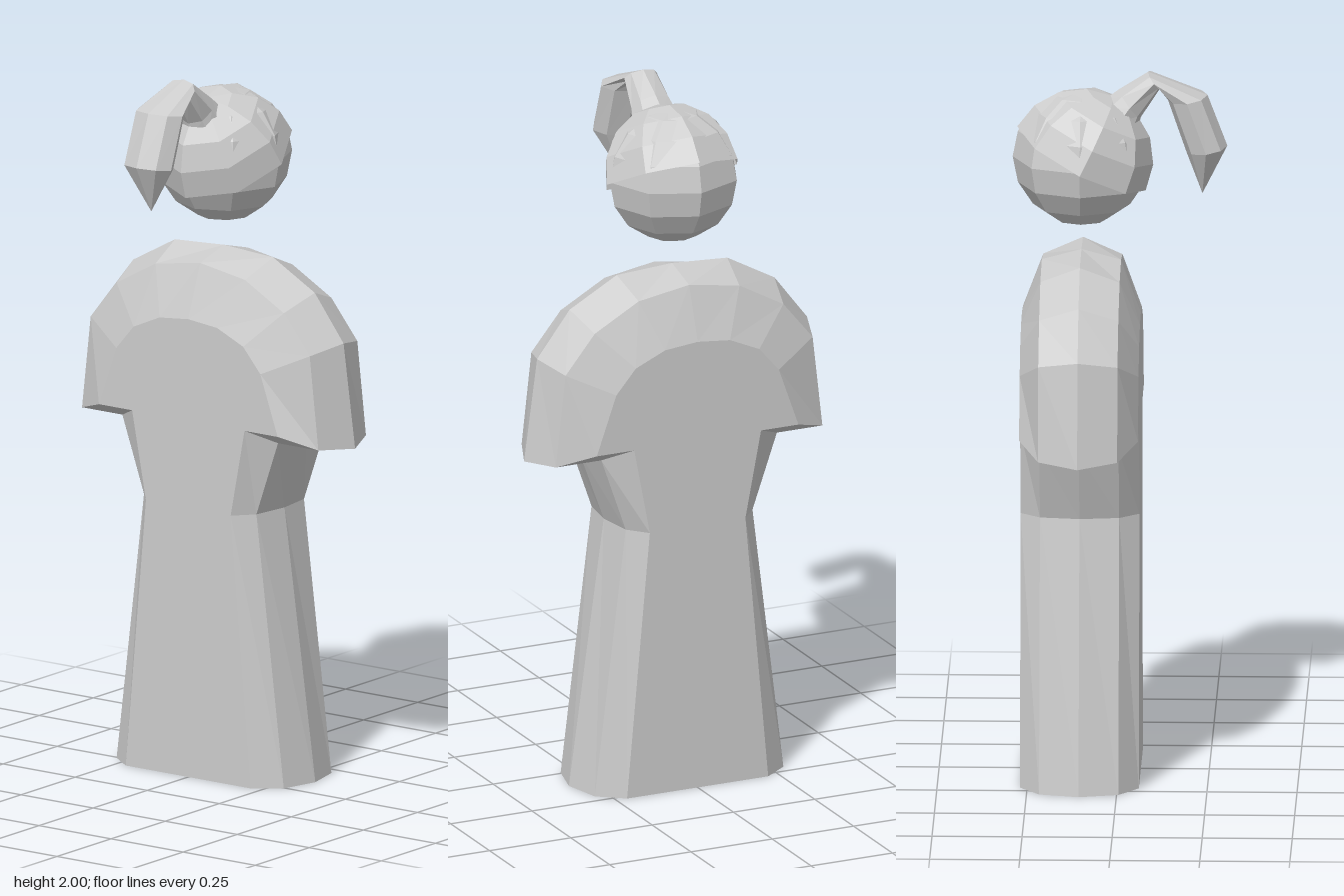
import * as THREE from 'three';

const CENTRE_Z = -0.105;
const material = new THREE.MeshStandardMaterial({ color: 0xcccccc, flatShading: true, side: THREE.DoubleSide });

function add(group, name, geometry) {
  const mesh = new THREE.Mesh(geometry, material);
  mesh.name = name;
  group.add(mesh);
  return mesh;
}

// Faceted geometry from a list of [a, b, c] Vector3 triangles.
function facets(triangles) {
  const geometry = new THREE.BufferGeometry().setFromPoints(triangles.flat());
  geometry.computeVertexNormals();
  return geometry;
}

// Skin of quads between successive cross-sections.
function skin(rings, closed) {
  const triangles = [];
  for (let i = 0; i < rings.length - 1; i++) {
    const n = rings[i].length;
    for (let j = 0; j < (closed ? n : n - 1); j++) {
      const k = (j + 1) % n;
      const [a, b, c, d] = [rings[i][j], rings[i][k], rings[i + 1][k], rings[i + 1][j]];
      triangles.push([a, b, c], [a, c, d]);
    }
  }
  return triangles;
}

// Robe: half outlines from hem to collar, mirrored and stacked in depth.
function robeGeometry() {
  const inner = [[0.217, 0], [0.147, 0.77], [0.195, 1.02], [0.31, 1.02], [0.25, 1.19], [0.19, 1.26], [0.1, 1.3], [0, 1.31]];
  const middle = [[0.29, 0], [0.195, 0.77], [0.27, 0.985], [0.41, 0.985], [0.38, 1.25], [0.29, 1.36], [0.155, 1.435], [0, 1.46]];
  const outer = [[0.317, 0], [0.21, 0.77], [0.285, 0.975], [0.455, 0.975], [0.415, 1.27], [0.315, 1.4], [0.17, 1.48], [0, 1.49]];

  const layer = (half, z) => {
    const mirrored = half.slice(0, -1).reverse().map(([x, y]) => [-x, y]);
    return [...half, ...mirrored].map(([x, y]) => new THREE.Vector3(x, y, z));
  };
  const layers = [
    layer(inner, -0.165), layer(middle, -0.11), layer(outer, 0), layer(middle, 0.11), layer(inner, 0.165),
  ];

  // The hem stays open; flat panels close the front and back.
  const triangles = skin(layers, false);
  const contour = layers[4].map((p) => new THREE.Vector2(p.x, p.y));
  for (const [a, b, c] of THREE.ShapeUtils.triangulateShape(contour, [])) {
    triangles.push([layers[4][a], layers[4][b], layers[4][c]]);
    triangles.push([layers[0][a], layers[0][c], layers[0][b]]);
  }
  return facets(triangles);
}

// Ponytail: octagonal sections given by outer edge, inner edge and half width.
function ponytailGeometry() {
  const sections = [
    { out: [1.92, -0.04], inn: [1.83, 0.05], w: 0.07 },
    { out: [1.95, 0.0], inn: [1.87, 0.06], w: 0.06 },
    { out: [2.0, 0.08], inn: [1.955, 0.115], w: 0.05 },
    { out: [1.935, 0.245], inn: [1.92, 0.135], w: 0.077 },
    { out: [1.79, 0.3], inn: [1.775, 0.185], w: 0.077 },
    { out: [1.655, 0.232], inn: [1.655, 0.23], w: 0.001 },
  ];
  const rings = sections.map(({ out, inn, w }) => Array.from({ length: 8 }, (_, i) => {
    const t = (i / 8) * Math.PI * 2;
    const s = (1 + Math.cos(t)) / 2;
    return new THREE.Vector3(
      -Math.sin(t) * w,
      THREE.MathUtils.lerp(inn[0], out[0], s),
      THREE.MathUtils.lerp(inn[1], out[1], s),
    );
  }));
  return facets(skin(rings, true));
}

export function createModel() {
  const model = new THREE.Group();
  model.name = 'robedFigure';

  add(model, 'robe', robeGeometry()).position.z = CENTRE_Z;

  // Floating head
  add(model, 'head', new THREE.SphereGeometry(0.191, 8, 8)).position.set(0, 1.755, CENTRE_Z);

  // Hair cap: tilted half sphere just outside the head
  const cap = add(model, 'hairCap', new THREE.SphereGeometry(0.2, 8, 4, 0, Math.PI * 2, 0, Math.PI / 2));
  cap.position.set(0, 1.75, CENTRE_Z);
  cap.rotation.x = 0.47;

  add(model, 'ponytail', ponytailGeometry());
  return model;
}
